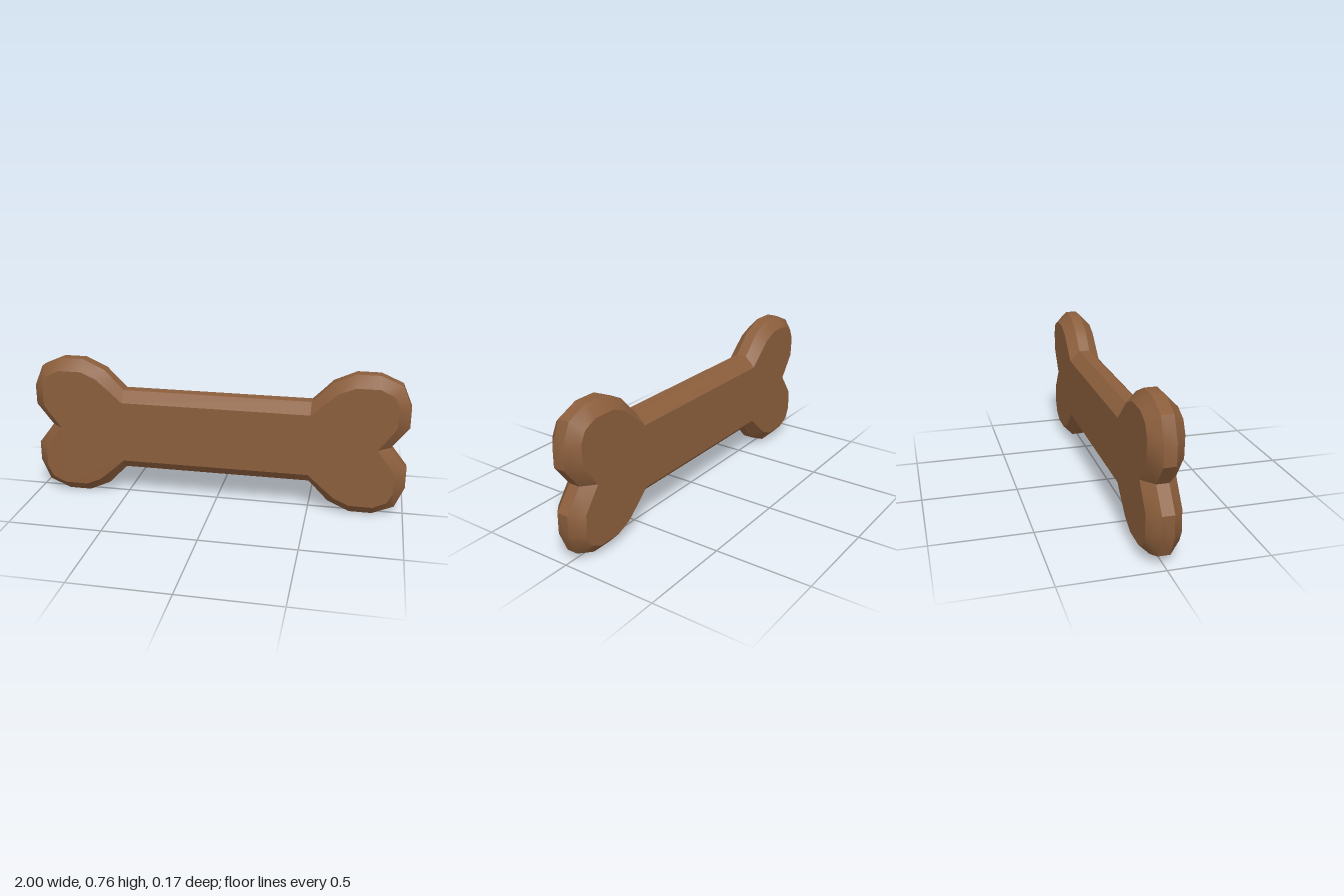
import * as THREE from 'three';
import { toCreasedNormals } from 'three/addons/utils/BufferGeometryUtils.js';

const MID_Y = 0.379;

// Upper right quarter, from the end notch round the knob to the shaft: [x, height above the middle]
const rimQuarter = [
  [0.912, 0], [1, 0.113], [1, 0.22], [0.952, 0.331], [0.84, 0.379],
  [0.72, 0.379], [0.604, 0.326], [0.552, 0.272], [0.5, 0.22],
];
const faceQuarter = [
  [0.847, 0], [0.936, 0.121], [0.941, 0.229], [0.912, 0.289], [0.842, 0.322],
  [0.72, 0.322], [0.64, 0.288], [0.573, 0.231], [0.5, 0.165],
];

// Mirrors a quarter into a closed counter-clockwise outline
function outline(quarter) {
  const place = (sx, sy) => ([x, y]) => new THREE.Vector2(sx * x, MID_Y + sy * y);
  const back = [...quarter].reverse();
  return [
    ...quarter.map(place(1, 1)),
    ...back.map(place(-1, 1)),
    ...quarter.slice(1).map(place(-1, -1)),
    ...back.slice(0, -1).map(place(1, -1)),
  ];
}

function boneGeometry() {
  const rim = outline(rimQuarter);
  const face = outline(faceQuarter);
  const rings = [[face, -0.085], [rim, -0.03], [rim, 0.03], [face, 0.085]];
  const n = rim.length;
  const positions = rings.flatMap(([pts, z]) => pts.flatMap((p) => [p.x, p.y, z]));
  const index = [];

  // Bevels and rim band
  for (let k = 0; k < rings.length - 1; k++) {
    for (let i = 0; i < n; i++) {
      const j = (i + 1) % n;
      const a = k * n + i, b = k * n + j, c = b + n, d = a + n;
      index.push(a, b, c, a, c, d);
    }
  }

  // Flat front and back faces
  const front = (rings.length - 1) * n;
  for (const [a, b, c] of THREE.ShapeUtils.triangulateShape(face, [])) {
    index.push(front + a, front + b, front + c, a, c, b);
  }

  const geometry = new THREE.BufferGeometry();
  geometry.setAttribute('position', new THREE.Float32BufferAttribute(positions, 3));
  geometry.setIndex(index);
  return toCreasedNormals(geometry, 0.55);
}

export function createModel() {
  const group = new THREE.Group();
  group.name = 'dogBone';
  const bone = new THREE.Mesh(boneGeometry(), new THREE.MeshStandardMaterial({ color: 0x8b5e3c }));
  bone.name = 'bone';
  group.add(bone);
  return group;
}
